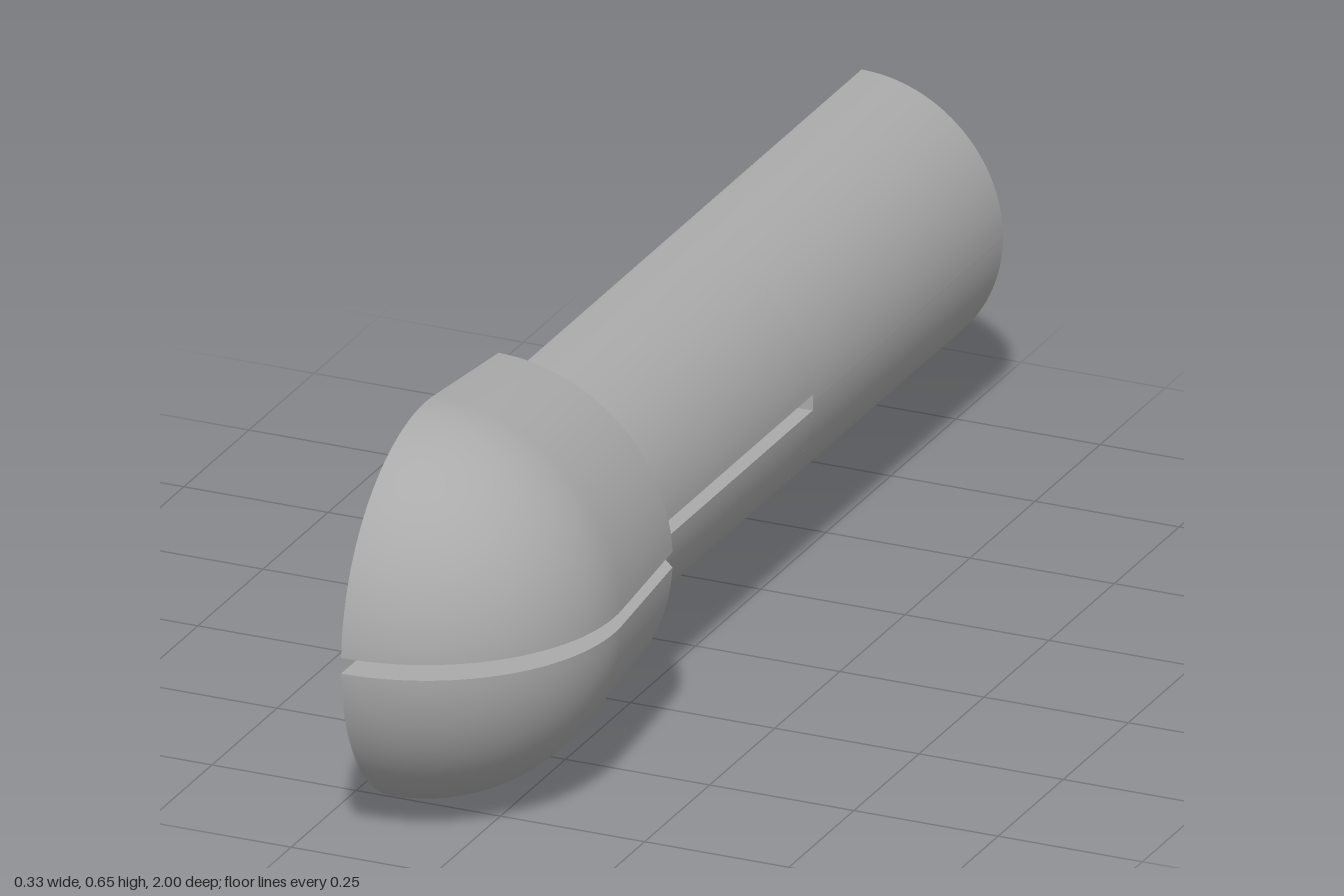
import * as THREE from 'three';

const R = 0.327;        // dome radius
const TUBE = 0.245;     // shaft radius
const GAP = 0.0135;     // half height of the slot
const SLOT_END = -0.27; // where the slot stops
const NECK = 0.335;     // where the shaft meets the head
const DOME_Z = R * -1 + 1;

const grey = new THREE.MeshStandardMaterial({ color: 0xaaaaaa, side: THREE.DoubleSide });
grey.name = 'plain grey';

function part(name, geometry) {
  const mesh = new THREE.Mesh(geometry, grey);
  mesh.name = name;
  return mesh;
}

// Quarter shell swept through [z, radius] stations, starting at height gap above the mid plane
function quarterShell(profile, gap, steps = 32) {
  const positions = [], index = [];
  profile.forEach(([z, r], i) => {
    const start = Math.asin(Math.min(1, gap / r));
    for (let j = 0; j <= steps; j++) {
      const t = start + (Math.PI / 2 - start) * j / steps;
      positions.push(r * Math.cos(t), r * Math.sin(t), z);
      if (i && j) {
        const d = i * (steps + 1) + j, c = d - 1, b = d - steps - 1, a = b - 1;
        index.push(a, b, c, b, d, c);
      }
    }
  });
  const g = new THREE.BufferGeometry();
  g.setAttribute('position', new THREE.Float32BufferAttribute(positions, 3));
  g.setIndex(index);
  g.computeVertexNormals();
  return g;
}

export function createModel() {
  const model = new THREE.Group();
  model.name = 'slottedPlungerHalf';

  // Head profile: tapered skirt running tangent into the dome
  const collar = [0.395, 0.302];
  const head = [collar, [0.52, 0.314]];
  const first = -0.095, last = Math.acos(GAP / R);
  for (let i = 0; i <= 32; i++) {
    const a = first + (last - first) * i / 32;
    head.push([DOME_Z + R * Math.sin(a), R * Math.cos(a)]);
  }

  // Upper half
  const upper = new THREE.Group();
  upper.name = 'upperHalf';
  upper.add(
    part('shaft', quarterShell([[-1, TUBE], [SLOT_END, TUBE]], 0)),
    part('slottedShaft', quarterShell([[SLOT_END, TUBE], [NECK, TUBE]], GAP)),
    part('chamfer', quarterShell([[NECK, TUBE], collar], GAP)),
    part('head', quarterShell(head, GAP)),
  );

  // Flat slot wall following the outer profile
  const outline = [[SLOT_END, TUBE], [NECK, TUBE], ...head]
    .map(([z, r]) => new THREE.Vector2(Math.sqrt(Math.max(0, r * r - GAP * GAP)), z));
  outline.unshift(new THREE.Vector2(0, SLOT_END));
  const wall = new THREE.ShapeGeometry(new THREE.Shape(outline));
  wall.rotateX(Math.PI / 2).translate(0, GAP, 0);
  upper.add(part('slotWall', wall));

  // Lower half is the mirror image
  const lower = upper.clone();
  lower.name = 'lowerHalf';
  lower.scale.y = -1;

  // Closed end of the slot
  const slotEnd = new THREE.PlaneGeometry(TUBE, GAP * 2);
  slotEnd.translate(TUBE / 2, 0, SLOT_END);

  // Half disc closing the back of the shaft
  const cap = new THREE.CircleGeometry(TUBE, 64, Math.PI / 2, Math.PI);
  cap.rotateY(Math.PI).translate(0, 0, -1);

  const body = new THREE.Group();
  body.name = 'body';
  body.add(upper, lower, part('slotEnd', slotEnd), part('backCap', cap));
  body.position.set(-R / 2, R, 0);
  model.add(body);
  return model;
}
